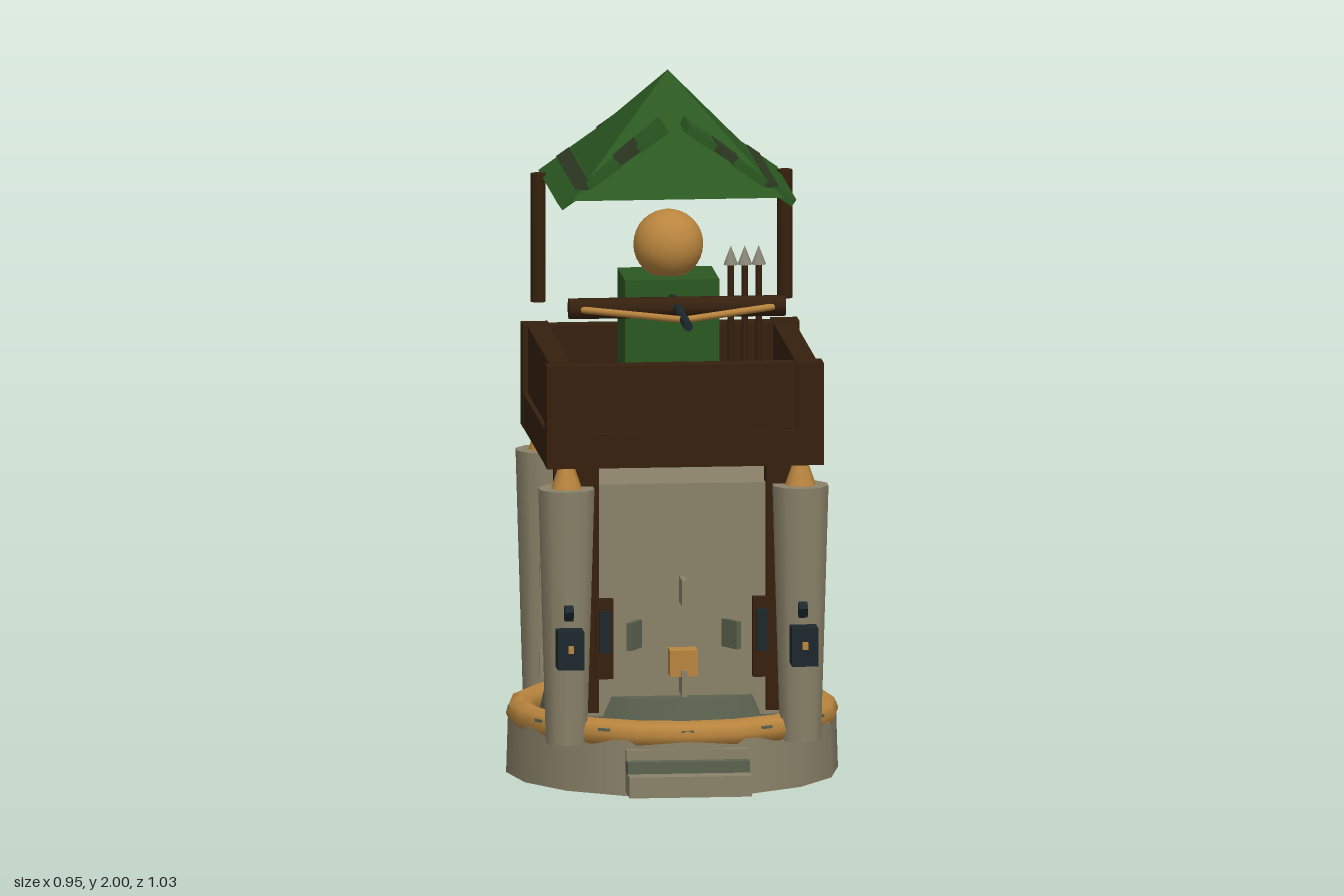
import * as THREE from 'three';

const mat = (name, color) => new THREE.MeshStandardMaterial({ name, color });

export function createModel() {
  const M = {
    stone: mat('pale stone', 0x8a8269),
    moss: mat('mossy stone', 0x5c6350),
    gold: mat('golden wood', 0xb9853e),
    wood: mat('dark wood', 0x36200e),
    green: mat('green cloth', 0x2b5821),
    darkGreen: mat('dark green board', 0x2e3a22),
    steel: mat('dark steel', 0x1c282d),
    tip: mat('arrow tip', 0x8a8678),
  };
  const CZ = -0.04; // tower axis
  const root = new THREE.Group();
  root.name = 'watchtower';

  const add = (name, geo, m, x, y, z, parent = root) => {
    const mesh = new THREE.Mesh(geo, m);
    mesh.name = name;
    mesh.position.set(x, y, z);
    parent.add(mesh);
    return mesh;
  };
  const box = (name, m, w, h, d, x, y, z, parent) =>
    add(name, new THREE.BoxGeometry(w, h, d), m, x, y, z, parent);
  const cyl = (name, m, rt, rb, h, n, x, y, z, parent) =>
    add(name, new THREE.CylinderGeometry(rt, rb, h, n), m, x, y, z, parent);
  // round bar between two points
  const bar = (name, m, r, a, b, n = 8) => {
    const A = new THREE.Vector3(...a), B = new THREE.Vector3(...b);
    const dir = B.clone().sub(A), mid = A.clone().add(B).multiplyScalar(0.5);
    const mesh = cyl(name, m, r, r, dir.length(), n, mid.x, mid.y, mid.z);
    mesh.quaternion.setFromUnitVectors(new THREE.Vector3(0, 1, 0), dir.normalize());
    return mesh;
  };

  // Round base, golden ring with studs, inner plinth
  cyl('base', M.stone, 0.47, 0.475, 0.16, 16, 0, 0.08, CZ);
  const ring = add('baseRing', new THREE.TorusGeometry(0.435, 0.041, 8, 20), M.gold, 0, 0.172, CZ);
  ring.rotation.x = Math.PI / 2;
  cyl('plinth', M.moss, 0.36, 0.39, 0.125, 16, 0, 0.2, CZ);
  for (let i = 0; i < 12; i++) {
    const a = (i / 12) * Math.PI * 2;
    const stud = box('ringStud', M.moss, 0.035, 0.008, 0.012,
      Math.sin(a) * 0.463, 0.186, CZ + Math.cos(a) * 0.463);
    stud.rotation.y = a;
  }

  // Front steps
  box('lowerStep', M.stone, 0.35, 0.06, 0.15, 0, 0.042, 0.442);
  box('middleStep', M.moss, 0.35, 0.035, 0.12, 0, 0.088, 0.4);
  box('upperStep', M.stone, 0.35, 0.03, 0.1, 0, 0.12, 0.375);

  // Square tower body
  box('towerBody', M.stone, 0.58, 0.67, 0.58, 0, 0.54, CZ);

  // Stone fins on each wall
  for (let k = 0; k < 4; k++) {
    const wall = new THREE.Group();
    wall.name = 'wallStones';
    wall.position.z = CZ;
    wall.rotation.y = (k * Math.PI) / 2;
    root.add(wall);
    for (const y of [0.57, 0.31]) box('paleFin', M.stone, 0.015, 0.075, 0.09, 0, y, 0.335, wall);
    for (const s of [-1, 1]) {
      const fin = box('mossFin', M.moss, 0.015, 0.08, 0.08, s * 0.137, 0.443, 0.315, wall);
      fin.rotation.y = s * Math.PI / 6;
    }
    if (k % 2 === 0) box('goldBlock', M.gold, 0.08, 0.075, 0.075, 0, 0.365, 0.32, wall);
  }

  // Corner pillars with golden caps, and timber posts
  for (const sx of [-1, 1]) for (const sz of [-1, 1]) {
    const x = sx * 0.335, z = CZ + sz * 0.337;
    cyl('pillar', M.stone, 0.082, 0.06, 0.735, 10, x, 0.507, z);
    cyl('pillarCap', M.gold, 0.02, 0.046, 0.075, 8, x, 0.907, z);
    box('timberPost', M.wood, 0.075, 0.74, 0.075, sx * 0.277, 0.59, CZ + sz * 0.277);
  }

  // Lanterns and shutters on the front
  for (const s of [-1, 1]) {
    box('lantern', M.steel, 0.075, 0.11, 0.075, s * 0.335, 0.427, 0.405);
    box('lanternWindow', M.gold, 0.016, 0.022, 0.006, s * 0.335, 0.432, 0.443);
    const hook = box('lanternHook', M.steel, 0.026, 0.035, 0.03, s * 0.335, 0.525, 0.372);
    hook.rotation.x = 0.6;
    box('shutter', M.wood, 0.05, 0.23, 0.03, s * 0.225, 0.435, 0.28);
    box('shutterPlate', M.steel, 0.03, 0.12, 0.03, s * 0.225, 0.457, 0.295);
  }

  // Platform: floor planks, walls and corner frames
  const PZ = -0.037;
  box('platformBase', M.wood, 0.77, 0.05, 0.77, 0, 0.965, PZ);
  for (let i = 0; i < 10; i++)
    box('floorPlank', M.wood, 0.06, 0.02, 0.66, -0.2925 + i * 0.065, 1.0, PZ);
  for (let k = 0; k < 4; k++) {
    const side = new THREE.Group();
    side.name = 'platformSide';
    side.position.z = PZ;
    side.rotation.y = (k * Math.PI) / 2;
    root.add(side);
    box('sideBeam', M.wood, 0.77, 0.1, 0.072, 0, 0.99, 0.359, side);
    box('sidePanel', M.wood, 0.66, 0.195, 0.062, 0, 1.135, 0.351, side);
    box('cornerFrame', M.wood, 0.078, 0.295, 0.078, 0.357, 1.0875, 0.357, side);
  }
  for (const s of [-1, 1])
    add('floorLamp', new THREE.SphereGeometry(0.018, 8, 6), M.gold, s * 0.302, 1.03, 0.262);

  // Lookout figure
  box('figureBody', M.green, 0.27, 0.415, 0.225, 0, 1.2075, -0.148);
  add('figureHead', new THREE.SphereGeometry(0.1, 24, 16), M.gold, 0, 1.5, -0.15);

  // Arrows
  for (const x of [0.19, 0.23, 0.27]) {
    bar('arrowShaft', M.wood, 0.009, [x, 1.01, -0.265], [x, 1.43, -0.265]);
    cyl('arrowTip', M.tip, 0, 0.021, 0.055, 8, x, 1.445, -0.265);
  }

  // Mounted crossbow
  bar('bowBeam', M.wood, 0.03, [-0.31, 1.36, 0.105], [0.31, 1.36, 0.105], 10);
  bar('bolt', M.steel, 0.014, [0, 1.36, -0.05], [0, 1.36, 0.44]);
  for (const s of [-1, 1])
    bar('bowString', M.gold, 0.01, [s * 0.275, 1.36, 0.125], [0, 1.36, 0.325]);

  // Roof posts
  for (const s of [-1, 1])
    bar('roofPost', M.wood, 0.022, [s * 0.353, 1.305, -0.353], [s * 0.353, 1.675, -0.353], 10);

  // Pyramid roof pushed through sloping boards
  const roof = add('roofPyramid', new THREE.ConeGeometry(0.302 * Math.SQRT2, 0.325, 4).rotateY(Math.PI / 4)
    .toNonIndexed(), M.green, 0, 1.8375, -0.172);
  roof.geometry.computeVertexNormals();
  // board edges measured out from the ridge, laid like shingles
  const slope = Math.atan(0.7);
  const boards = [[0.335, 0.275], [0.285, 0.248], [0.255, 0.165], [0.17, 0.105], [0.11, 0.03]];
  for (const s of [-1, 1]) boards.forEach(([a, b], i) => {
    const mid = (a + b) / 2, dark = i % 2;
    const board = box('roofBoard', dark ? M.darkGreen : M.green,
      (a - b) / Math.cos(slope), 0.024, 0.575 - dark * 0.008,
      s * mid, 1.662 + (0.325 - mid) * 0.72 + (dark ? 0.004 : 0), -0.178);
    board.rotation.z = -s * slope;
  });

  return root;
}
